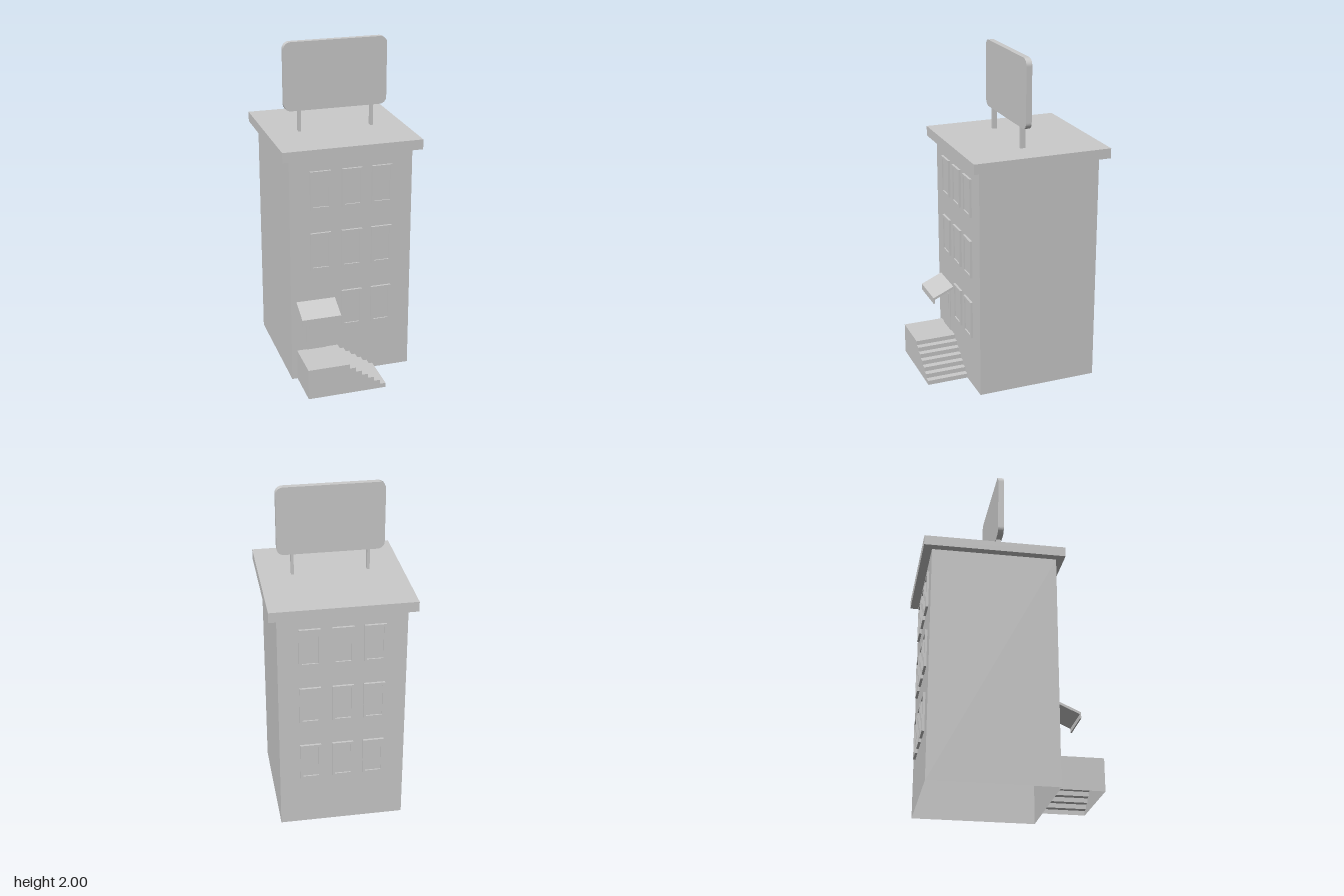
import * as THREE from 'three';

const grey = new THREE.MeshStandardMaterial({ color: 0xcccccc, flatShading: true });
const shell = new THREE.MeshStandardMaterial({ color: 0xcccccc, flatShading: true, side: THREE.DoubleSide });

function add(parent, name, geometry, material = grey) {
  const mesh = new THREE.Mesh(geometry, material);
  mesh.name = name;
  parent.add(mesh);
  return mesh;
}

// Box given by its minimum and maximum on each axis
function box(x0, x1, y0, y1, z0, z1) {
  return new THREE.BoxGeometry(x1 - x0, y1 - y0, z1 - z0)
    .translate((x0 + x1) / 2, (y0 + y1) / 2, (z0 + z1) / 2);
}

function polygon(points) {
  return new THREE.Shape(points.map(([x, y]) => new THREE.Vector2(x, y)));
}

function extrude(shape, depth) {
  return new THREE.ExtrudeGeometry(shape, { depth, bevelEnabled: false, curveSegments: 6 });
}

// Drops the triangles lying on the ground, leaving a hollow shell
function openBottom(geometry) {
  const source = geometry.index ? geometry.toNonIndexed() : geometry;
  const p = source.attributes.position;
  const kept = [];
  for (let i = 0; i < p.count; i += 3) {
    if (Math.max(p.getY(i), p.getY(i + 1), p.getY(i + 2)) < 1e-4) continue;
    for (let k = i; k < i + 3; k++) kept.push(p.getX(k), p.getY(k), p.getZ(k));
  }
  const open = new THREE.BufferGeometry();
  open.setAttribute('position', new THREE.Float32BufferAttribute(kept, 3));
  open.computeVertexNormals();
  return open;
}

function rectangle(w, h) {
  return [[-w / 2, -h / 2], [w / 2, -h / 2], [w / 2, h / 2], [-w / 2, h / 2]];
}

// Raised frame around a recessed pane, its back on z = 0
function makeWindow(x, y) {
  const w = 0.124, h = 0.232, rail = 0.015;
  const group = new THREE.Group();
  group.name = 'window';
  const frame = polygon(rectangle(w, h));
  frame.holes.push(polygon(rectangle(w - 2 * rail, h - 2 * rail)));
  add(group, 'windowFrame', extrude(frame, 0.014));
  add(group, 'windowPane', box(-w / 2 + rail, w / 2 - rail, -h / 2 + rail, h / 2 - rail, 0, 0.006));
  group.position.set(x, y, 0);
  return group;
}

function makeFacade(name, skipDoorBay) {
  const group = new THREE.Group();
  group.name = name;
  [0.438, 0.827, 1.206].forEach((y, row) => {
    [-0.187, 0.003, 0.185].forEach((x, column) => {
      if (skipDoorBay && row === 0 && column === 0) return;
      group.add(makeWindow(x, y));
    });
  });
  return group;
}

export function createModel() {
  const model = new THREE.Group();
  model.name = 'building';

  // Hollow body and overhanging roof
  add(model, 'walls', openBottom(box(-0.37, 0.37, 0, 1.405, -0.47, 0.27)), shell);
  add(model, 'roof', box(-0.418, 0.418, 1.405, 1.465, -0.521, 0.317));

  // Windows on the front and back
  const front = makeFacade('frontWindows', true);
  front.position.z = 0.27;
  const back = makeFacade('backWindows', false);
  back.position.z = -0.47;
  back.rotation.y = Math.PI;
  model.add(front, back);

  // Door with a small raised panel
  add(model, 'door', box(-0.28, -0.155, 0.19, 0.46, 0.265, 0.275));
  add(model, 'doorPanel', box(-0.263, -0.175, 0.333, 0.435, 0.27, 0.28));

  // Landing and steps going down towards +x
  const risers = 7, height = 0.19, top = -0.083, end = 0.14;
  const run = (end - top) / (risers - 1);
  const profile = [[-0.337, 0], [end, 0]];
  for (let i = 0; i < risers; i++) {
    const x = end - i * run;
    const y = ((i + 1) * height) / risers;
    if (i > 0) profile.push([x, (i * height) / risers]);
    profile.push([x, y]);
  }
  profile.push([-0.337, height]);
  add(model, 'frontSteps', openBottom(extrude(polygon(profile), 0.257).translate(0, 0, 0.265)), shell);

  // Sloping awning with a hanging lip, profile in (z, y)
  const awning = polygon([[0.27, 0.513], [0.27, 0.497], [0.392, 0.443],
    [0.392, 0.417], [0.4, 0.417], [0.4, 0.455]]);
  add(model, 'awning', extrude(awning, 0.237).rotateY(-Math.PI / 2).translate(-0.1, 0, 0));

  // Rooftop board with rounded corners on two posts
  const w = 0.313, y0 = 1.592, y1 = 2, r = 0.042;
  const board = new THREE.Shape();
  board.moveTo(-w + r, y0);
  board.lineTo(w - r, y0);
  board.absarc(w - r, y0 + r, r, -Math.PI / 2, 0);
  board.absarc(w - r, y1 - r, r, 0, Math.PI / 2);
  board.absarc(-w + r, y1 - r, r, Math.PI / 2, Math.PI);
  board.absarc(-w + r, y0 + r, r, Math.PI, Math.PI * 1.5);
  add(model, 'rooftopBoard', extrude(board, 0.035).translate(0, 0, -0.069));
  for (const x of [-0.22, 0.224]) {
    add(model, 'boardPost', box(x - 0.008, x + 0.008, 1.46, 1.6, -0.067, -0.036));
  }

  return model;
}
